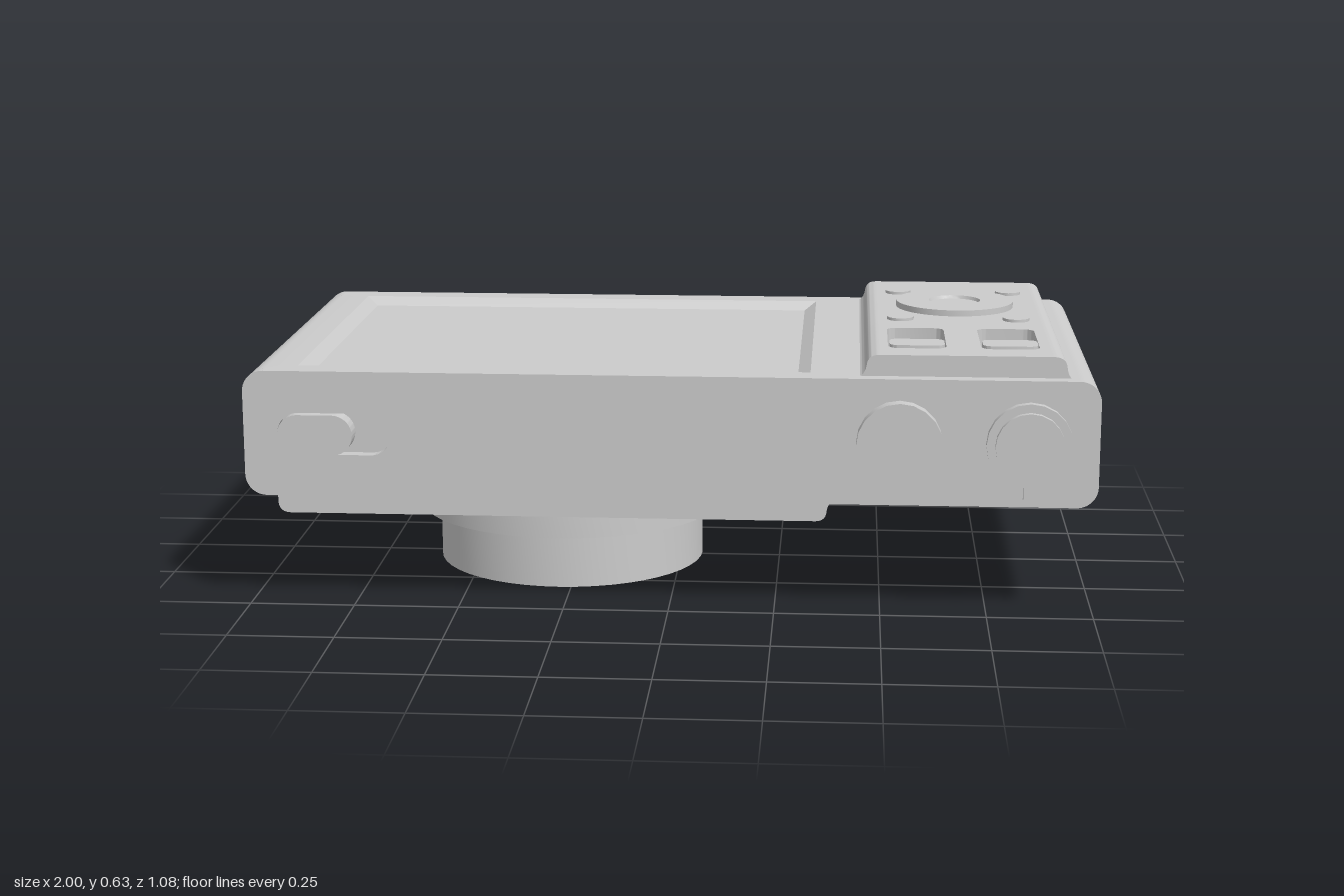
import * as THREE from 'three';
import { toCreasedNormals } from 'three/addons/utils/BufferGeometryUtils.js';

const material = new THREE.MeshStandardMaterial({ color: 0xcccccc });
const doubleSided = new THREE.MeshStandardMaterial({ color: 0xcccccc, side: THREE.DoubleSide });
const CREASE = 0.45;

export function createModel() {
  const model = new THREE.Group();
  const add = (name, geometry, mat = material) => {
    const mesh = new THREE.Mesh(geometry, mat);
    mesh.name = name;
    model.add(mesh);
    return mesh;
  };

  // Shape helpers
  const roundRect = (x0, y0, x1, y1, r) => {
    const s = new THREE.Shape();
    s.absarc(x1 - r, y0 + r, r, -Math.PI / 2, 0);
    s.absarc(x1 - r, y1 - r, r, 0, Math.PI / 2);
    s.absarc(x0 + r, y1 - r, r, Math.PI / 2, Math.PI);
    s.absarc(x0 + r, y0 + r, r, Math.PI, Math.PI * 1.5);
    s.closePath();
    return s;
  };
  const circle = (x, y, r) => new THREE.Shape().absarc(x, y, r, 0, Math.PI * 2);
  const extrudeZ = (shape, z0, z1) => {
    const g = new THREE.ExtrudeGeometry(shape, { depth: z1 - z0, bevelEnabled: false, curveSegments: 10 });
    return toCreasedNormals(g.translate(0, 0, z0), CREASE);
  };
  // Shape drawn in x and z, raised from y0 to y1
  const extrudeY = (shape, y0, y1) => {
    const g = new THREE.ExtrudeGeometry(shape, { depth: y1 - y0, bevelEnabled: false, curveSegments: 10 });
    return toCreasedNormals(g.rotateX(Math.PI / 2).translate(0, y1, 0), CREASE);
  };
  const lathe = (pairs, segments, x, z) => {
    const g = new THREE.LatheGeometry(pairs.map(([r, y]) => new THREE.Vector2(r, y)), segments);
    return toCreasedNormals(g, CREASE).translate(x, 0, z);
  };

  // Body: cross-sections along z, with a sloped screen recess above and a flash recess below
  const Y0 = 0.27, Y1 = 0.57, R = 0.05, Z0 = -0.475, Z1 = 0.475;
  const section = (top, bottom) => {
    const pts = [];
    const corner = (cx, cy, start) => {
      for (let i = 0; i <= 10; i++) {
        const a = start + (i / 10) * Math.PI / 2;
        pts.push([cx + R * Math.cos(a), cy + R * Math.sin(a)]);
      }
    };
    corner(-1 + R, Y0 + R, Math.PI);
    pts.push([0.48, Y0], [0.48, Y0 + bottom], [0.88, Y0 + bottom], [0.88, Y0]);
    corner(1 - R, Y0 + R, -Math.PI / 2);
    corner(1 - R, Y1 - R, 0);
    pts.push([0.33, Y1], [0.3, Y1 - top], [-0.85, Y1 - top], [-0.88, Y1]);
    corner(-1 + R, Y1 - R, Math.PI / 2);
    return pts;
  };
  const D = 0.02, F = 0.015;
  const stations = [
    [Z0, 0, 0], [-0.445, D, 0], [0.18, D, 0], [0.18, D, F], [0.37, D, F],
    [0.37, D, 0], [0.405, D, 0], [0.44, 0, 0], [Z1, 0, 0],
  ];
  const rings = stations.map(([z, t, b]) => section(t, b).map(([x, y]) => [x, y, z]));
  const verts = [];
  for (let k = 0; k < rings.length - 1; k++) {
    const n = rings[k].length;
    for (let i = 0; i < n; i++) {
      const j = (i + 1) % n;
      const a = rings[k][i], b = rings[k][j], c = rings[k + 1][j], d = rings[k + 1][i];
      // the diagonal follows the mitre of the recess corners
      const tris = Math.abs(a[1] - c[1]) >= Math.abs(b[1] - d[1]) ? [a, b, c, a, c, d] : [a, b, d, b, c, d];
      tris.forEach((p) => verts.push(...p));
    }
  }
  const bodyGeo = new THREE.BufferGeometry();
  bodyGeo.setAttribute('position', new THREE.Float32BufferAttribute(verts, 3));
  add('body', toCreasedNormals(bodyGeo, CREASE));

  // End walls with the slider slot and the tripod socket
  const outline = () => roundRect(-1, Y0, 1, Y1, R);
  const frontWall = outline();
  frontWall.holes.push(roundRect(-0.92, 0.37, -0.65, 0.47, 0.0499));
  add('frontWall', extrudeZ(frontWall, Z1, 0.505));
  const backWall = outline();
  backWall.holes.push(circle(0.02, 0.425, 0.062));
  add('backWall', extrudeZ(backWall, -0.54, Z0));
  for (const [name, z] of [['slotFloor', Z1], ['socketFloor', Z0]]) {
    add(name, new THREE.ShapeGeometry(outline()).translate(0, 0, z), doubleSided);
  }

  // Lens plate under the body, flared at its inner end
  const plate = new THREE.Shape();
  plate.moveTo(-0.93, 0.275);
  plate.lineTo(-0.93, 0.25);
  plate.quadraticCurveTo(-0.93, 0.22, -0.9, 0.22);
  plate.lineTo(0.345, 0.22);
  plate.quadraticCurveTo(0.37, 0.22, 0.372, 0.245);
  plate.quadraticCurveTo(0.375, 0.268, 0.395, 0.275);
  plate.closePath();
  add('lensPlate', extrudeZ(plate, -0.505, 0.475));

  // Lens barrel with stepped tubes and recessed glass
  const LX = -0.28, LZ = -0.015;
  add('lensBarrel', lathe([
    [0.24, 0.06], [0.24, 0.035], [0.262, 0.035], [0.262, 0], [0.333, 0],
    [0.333, 0.135], [0.377, 0.135], [0.377, 0.205], [0.415, 0.205], [0.415, 0.225],
  ], 48, LX, LZ));
  const glass = [];
  for (let i = 0; i <= 8; i++) glass.push([0.24 * i / 8, 0.035 + 0.025 * (i / 8) ** 2]);
  add('lensGlass', lathe(glass, 48, LX, LZ));

  // Control panel: flared edge strips and a slab with two button wells
  const P0 = -0.51, P1 = 0.47, PT = 0.62;
  const innerEdge = new THREE.Shape();
  innerEdge.moveTo(0.44, 0.568);
  innerEdge.lineTo(0.49, 0.568);
  innerEdge.lineTo(0.49, PT);
  innerEdge.quadraticCurveTo(0.462, PT, 0.46, 0.595);
  innerEdge.quadraticCurveTo(0.456, 0.572, 0.44, 0.568);
  add('panelInnerEdge', extrudeZ(innerEdge, P0, P1));
  const outerEdge = new THREE.Shape();
  outerEdge.moveTo(0.89, 0.568);
  outerEdge.lineTo(0.935, 0.568);
  outerEdge.quadraticCurveTo(0.924, 0.575, 0.922, 0.595);
  outerEdge.quadraticCurveTo(0.92, PT, 0.89, PT);
  outerEdge.closePath();
  add('panelOuterEdge', extrudeZ(outerEdge, P0, P1));

  const slab = new THREE.Shape([[0.49, P0], [0.89, P0], [0.89, P1], [0.49, P1]].map(([x, z]) => new THREE.Vector2(x, z)));
  for (const x of [0.51, 0.728]) {
    slab.holes.push(roundRect(x, 0.14, x + 0.137, 0.385, 0.025));
    add('rockerButton', extrudeY(roundRect(x + 0.004, 0.31, x + 0.133, 0.388, 0.02), 0.57, 0.627));
  }
  add('controlPanel', extrudeY(slab, 0.568, PT));

  // Direction pad with a dished centre, and four round buttons
  add('directionPad', lathe([
    [0.148, 0.61], [0.148, 0.635], [0.065, 0.635], [0.062, 0.627], [0, 0.627],
  ], 40, 0.685, -0.165));
  for (const x of [0.545, 0.83]) {
    for (const z of [-0.345, 0.022]) {
      add('roundButton', extrudeY(circle(x, z, 0.033), 0.61, 0.627));
    }
  }

  // Controls on the front wall
  add('shutterButton', extrudeZ(circle(0.538, 0.42, 0.1), 0.5, 0.54));
  add('powerDial', extrudeZ(circle(0.838, 0.42, 0.1), 0.5, 0.525));
  add('powerDialCap', extrudeZ(circle(0.838, 0.42, 0.08), 0.52, 0.54));
  add('powerLever', extrudeZ(roundRect(0.826, 0.285, 0.85, 0.35, 0.005), 0.5, 0.522));
  add('slider', extrudeZ(roundRect(-0.917, 0.372, -0.74, 0.468, 0.0479), 0.475, 0.52));

  // Microphone dot beside the lens plate
  add('microphone', extrudeY(circle(0.51, -0.26, 0.008), 0.268, 0.28));

  return model;
}
